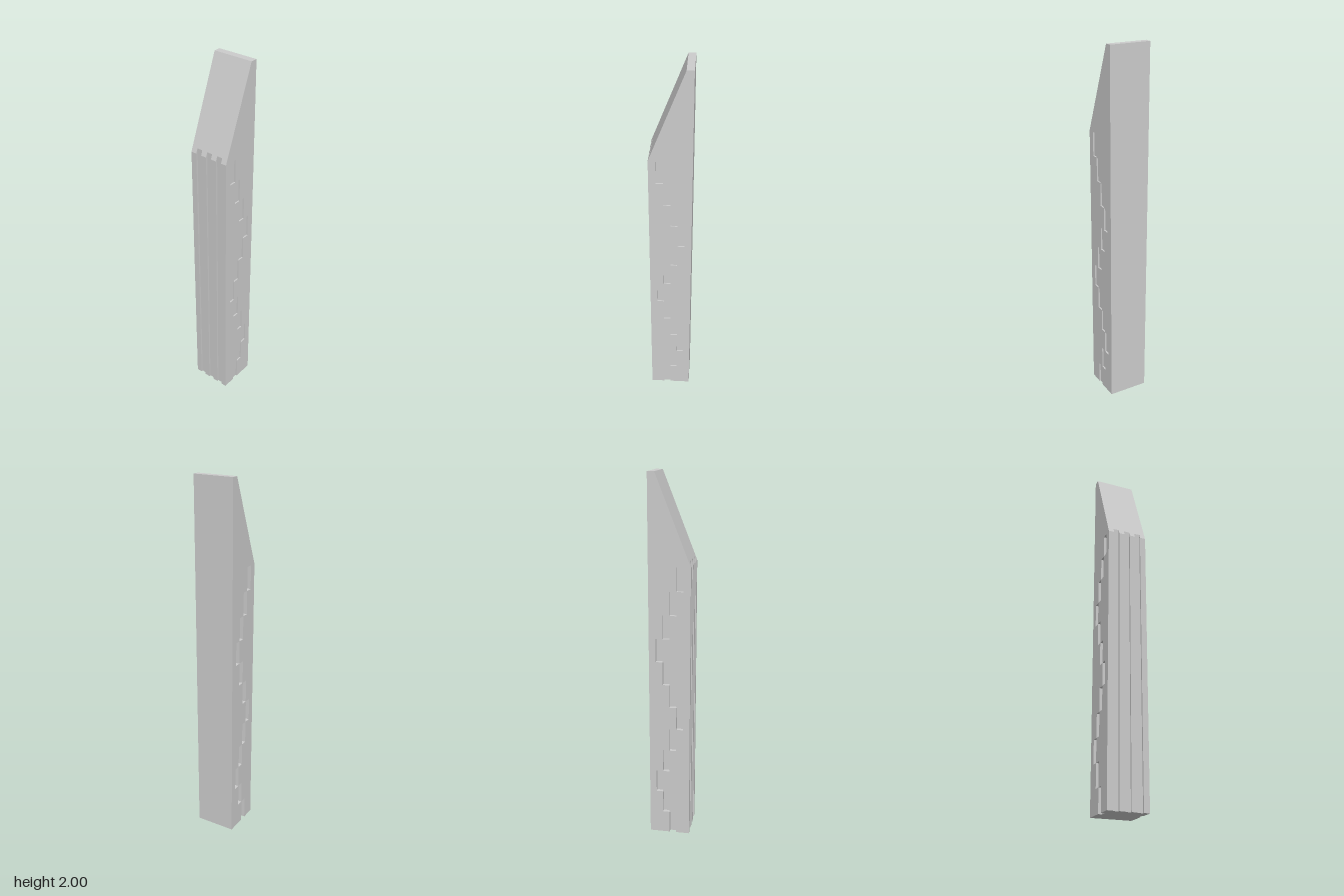
import * as THREE from 'three';

const R = 0.111;                 // half width of the square post
const CELL = (2 * R) / 6;        // carving column width
const TOP = 2, SHOULDER = 1.533; // tip height, start of the slanted cut
const TIP_X = R - CELL;
const STEPS = [1, 2, 3, 4, 3, 2, 1, 2, 3, 4, 3, 2]; // carved column per row, from the top
const ROW = SHOULDER / STEPS.length;
const FRONT_DEPTH = 0.008, BACK_DEPTH = 0.02, GROOVE_DEPTH = 0.01;

const slopeY = x => SHOULDER + (x + R) * (TOP - SHOULDER) / (TIP_X + R);

export function createModel() {
  const group = new THREE.Group();
  const material = new THREE.MeshStandardMaterial({ color: 0xcccccc, flatShading: true });

  // Extrudes an outline in x, y between two z positions
  function slab(name, points, z0, z1) {
    const shape = new THREE.Shape(points.map(p => new THREE.Vector2(p[0], p[1])));
    const geometry = new THREE.ExtrudeGeometry(shape, { depth: z1 - z0, bevelEnabled: false });
    geometry.translate(0, 0, z0);
    const mesh = new THREE.Mesh(geometry, material);
    mesh.name = name;
    group.add(mesh);
  }

  // Stepped line following one side of the carved cells, from the shoulder down
  const stairs = side => STEPS.flatMap((column, i) => {
    const x = -R + (column + side) * CELL;
    return [[x, SHOULDER - i * ROW], [x, SHOULDER - (i + 1) * ROW]];
  });

  // Core, forming the floor of every carving
  const inner = -R + GROOVE_DEPTH;
  slab('core', [[inner, 0], [R, 0], [R, TOP], [TIP_X, TOP], [inner, slopeY(inner)]],
    -R + BACK_DEPTH, R - FRONT_DEPTH);

  // Front and back faces, each split by the zigzag carving
  const low = [[-R, 0], [-R, SHOULDER], ...stairs(0)];
  const high = [[R, 0], [R, TOP], [TIP_X, TOP], [-R, SHOULDER], ...stairs(1)];
  for (const [name, z0, z1] of [['front', R - FRONT_DEPTH, R], ['back', -R, -R + BACK_DEPTH]]) {
    slab(name + 'PanelOuter', low, z0, z1);
    slab(name + 'PanelInner', high, z0, z1);
  }

  // Four upright ribs with three grooves between them on the low side
  const rib = (2 * R) / 7;
  const ribOutline = [[-R, 0], [inner, 0], [inner, slopeY(inner)], [-R, SHOULDER]];
  for (let i = 0; i < 4; i++) {
    const z = -R + 2 * i * rib;
    slab('sideRib', ribOutline,
      Math.max(z, -R + BACK_DEPTH), Math.min(z + rib, R - FRONT_DEPTH));
  }
  return group;
}
